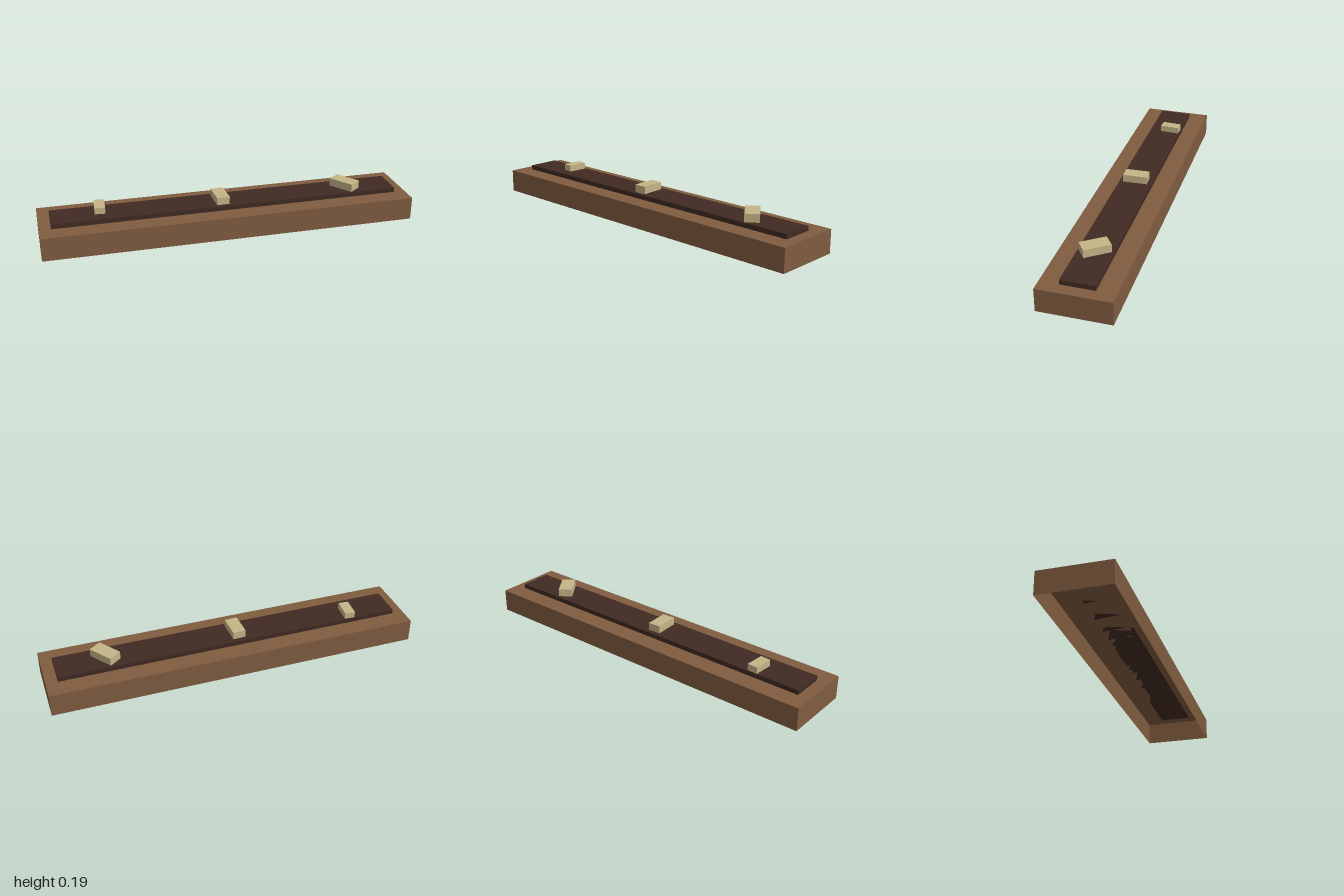
import * as THREE from 'three';

const wood = new THREE.MeshStandardMaterial({ color: 0x805c40, side: THREE.DoubleSide });
wood.name = 'brown wood';
const dark = new THREE.MeshStandardMaterial({ color: 0x402b22 });
dark.name = 'dark brown';
const cream = new THREE.MeshStandardMaterial({ color: 0xc5b486 });
cream.name = 'pale cream';

// Box standing on height y
function block(name, material, [w, h, d], [x, y, z], turn = 0) {
  const mesh = new THREE.Mesh(new THREE.BoxGeometry(w, h, d), material);
  mesh.name = name;
  mesh.position.set(x, y + h / 2, z);
  mesh.rotation.y = turn;
  return mesh;
}

export function createModel() {
  const group = new THREE.Group();
  group.name = 'plankWithBlocks';

  // Hollow base: a box with its bottom face (indices 18 to 23) left out
  const base = block('base', wood, [2, 0.125, 0.375], [0, 0, 0]);
  const index = Array.from(base.geometry.index.array);
  index.splice(18, 6);
  base.geometry.setIndex(index);
  base.geometry.clearGroups();
  group.add(base);

  // Raised dark panel
  group.add(block('panel', dark, [1.875, 0.025, 0.175], [0, 0.125, 0]));

  // Small loose blocks, each turned a little differently
  group.add(
    block('rightBlock', cream, [0.056, 0.035, 0.106], [-0.678, 0.15, -0.031], -0.07),
    block('middleBlock', cream, [0.069, 0.041, 0.13], [-0.036, 0.15, 0.002], 0.04),
    block('leftBlock', cream, [0.075, 0.043, 0.141], [0.673, 0.15, 0.003], 0.63),
  );
  return group;
}
